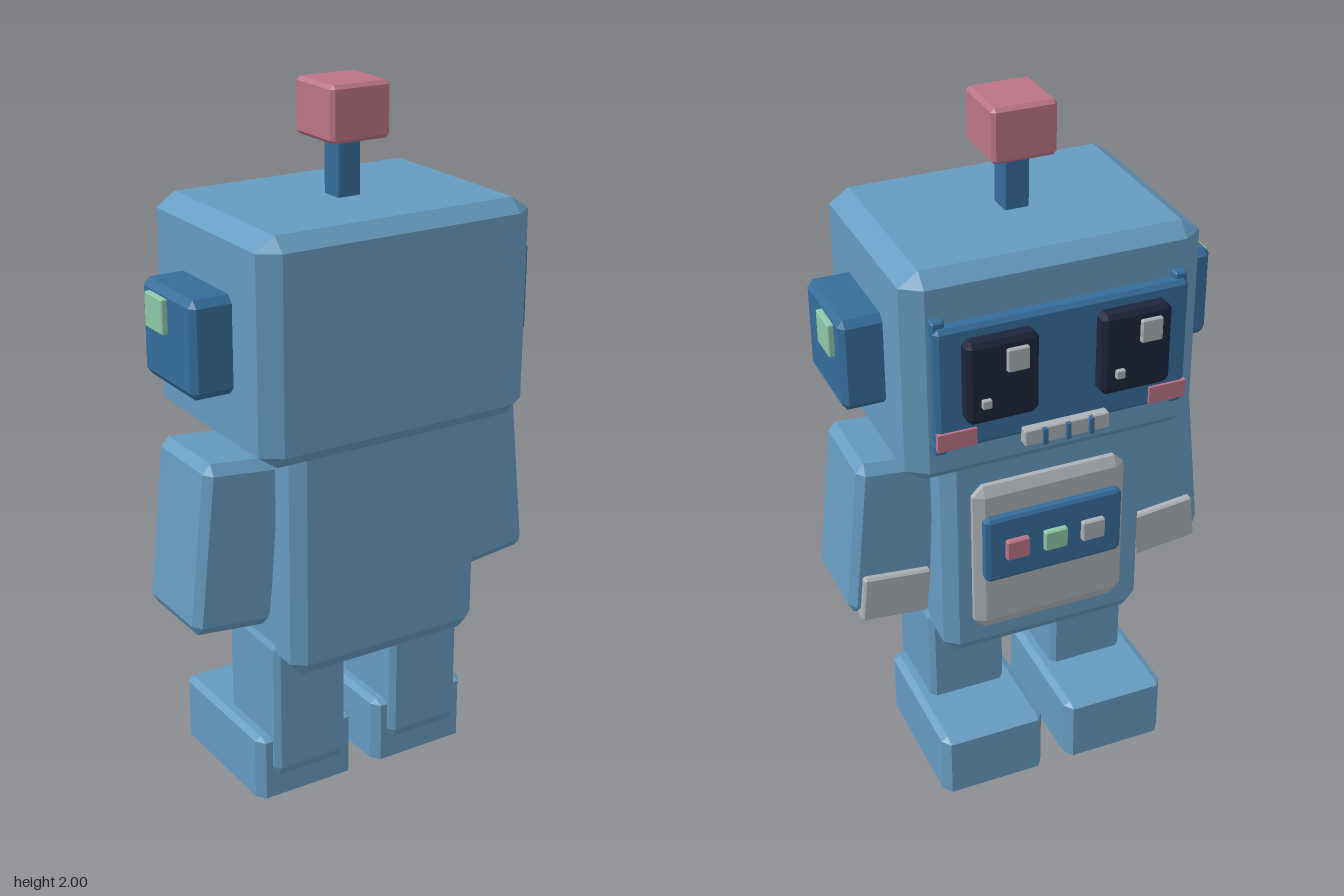
import * as THREE from 'three';
import { ConvexGeometry } from 'three/addons/geometries/ConvexGeometry.js';

const mat = (name, color) => {
  const m = new THREE.MeshStandardMaterial({ color });
  m.name = name;
  return m;
};

// Box with flat chamfers; bevel is [x, y, z] inset
function chamferBox([w, h, d], [bx, by, bz]) {
  const pts = [];
  const x = w / 2, y = h / 2, z = d / 2;
  for (const i of [-1, 1]) for (const j of [-1, 1]) for (const k of [-1, 1]) {
    pts.push(
      new THREE.Vector3(i * x, j * (y - by), k * (z - bz)),
      new THREE.Vector3(i * (x - bx), j * y, k * (z - bz)),
      new THREE.Vector3(i * (x - bx), j * (y - by), k * z));
  }
  return new ConvexGeometry(pts);
}

// Adds a box spanning [x0,x1] [y0,y1] [z0,z1], chamfered when a bevel is given
function block(parent, name, material, xs, ys, zs, bevel) {
  const size = [xs, ys, zs].map(([a, b]) => Math.abs(b - a));
  if (typeof bevel === 'number') bevel = [bevel, bevel, bevel];
  const geo = bevel ? chamferBox(size, bevel) : new THREE.BoxGeometry(...size);
  const mesh = new THREE.Mesh(geo, material);
  mesh.name = name;
  mesh.position.set(...[xs, ys, zs].map(([a, b]) => (a + b) / 2));
  parent.add(mesh);
  return mesh;
}

export function createModel() {
  const root = new THREE.Group();
  root.name = 'robot';
  const body = mat('body blue', 0x669bc0);
  const dark = mat('dark blue', 0x356d9b);
  const navy = mat('navy', 0x1c263b);
  const pink = mat('pink', 0xba7487);
  const green = mat('green', 0x8fc7a7);
  const grey = mat('light grey', 0xadb1b5);

  // Head, torso and antenna
  block(root, 'head', body, [-0.415, 0.415], [1.085, 1.695], [-0.255, 0.345], [0.055, 0.038, 0.038]);
  block(root, 'torso', body, [-0.3, 0.3], [0.435, 1.13], [-0.19, 0.29], [0.038, 0.04, 0.03]);
  block(root, 'antennaStem', dark, [-0.035, 0.035], [1.68, 1.86], [0.01, 0.08], 0.004);
  block(root, 'antennaTip', pink, [-0.09, 0.09], [1.85, 2], [-0.045, 0.138], 0.01);

  // Face plate on the -z side
  const face = new THREE.Group();
  face.name = 'face';
  root.add(face);
  block(face, 'facePlate', dark, [-0.352, 0.352], [1.205, 1.56], [-0.295, -0.25], [0.012, 0.012, 0.01]);
  block(face, 'mouth', grey, [-0.12, 0.12], [1.185, 1.232], [-0.322, -0.29], 0.003);
  for (const x of [-0.066, 0, 0.066])
    block(face, 'mouthBar', dark, [x - 0.006, x + 0.006], [1.185, 1.232], [-0.332, -0.31]);

  for (const s of [-1, 1]) {
    const cx = s * 0.1855;
    block(face, 'eye', navy, [cx - 0.098, cx + 0.098], [1.295, 1.528], [-0.337, -0.29], [0.014, 0.014, 0.008]);
    block(face, 'eyeGlint', grey, [cx - 0.067, cx - 0.007], [1.435, 1.5], [-0.349, -0.33], 0.003);
    block(face, 'eyeSpark', grey, [cx + 0.036, cx + 0.061], [1.343, 1.368], [-0.349, -0.33], 0.002);
    block(face, 'cheek', pink, [s * 0.245, s * 0.353], [1.215, 1.265], [-0.303, -0.288]);
    for (const y of [1.56, 1.207])
      block(face, 'rivet', dark, [s * 0.318, s * 0.354], [y - 0.018, y + 0.018], [-0.28, -0.25], 0.005);

    // Ears
    block(root, 'ear', dark, [s * 0.39, s * 0.53], [1.255, 1.52], [-0.092, 0.185], [0.015, 0.02, 0.018]);
    block(root, 'earLight', green, [s * 0.52, s * 0.546], [1.4, 1.495], [-0.043, 0.053], 0.003);

    // Arms, tilted outward at the bottom
    const arm = new THREE.Group();
    arm.name = s > 0 ? 'leftArm' : 'rightArm';
    arm.position.set(s * 0.405, 0.82, 0);
    arm.rotation.z = s * 0.105;
    root.add(arm);
    block(arm, 'armBlock', body, [-0.12, 0.12], [-0.243, 0.243], [-0.09, 0.19], [0.02, 0.028, 0.024]);
    block(arm, 'cuff', grey, [-s * 0.105, s * 0.09], [-0.25, -0.11], [-0.11, -0.05], 0.006);

    // Legs and feet
    block(root, 'leg', body, [s * 0.078, s * 0.308], [0.08, 0.512], [-0.07, 0.195], [0.015, 0.03, 0.016]);
    block(root, 'foot', body, [s * 0.037, s * 0.35], [0, 0.2], [-0.278, 0.172], [0.02, 0.01, 0.028]);
  }

  // Chest panel and buttons
  const chest = new THREE.Group();
  chest.name = 'chest';
  root.add(chest);
  block(chest, 'chestPlate', grey, [-0.225, 0.225], [0.535, 1.01], [-0.225, -0.18], [0.03, 0.03, 0.015]);
  block(chest, 'controlPanel', dark, [-0.203, 0.203], [0.715, 0.92], [-0.25, -0.215], [0.014, 0.01, 0.006]);
  [[0.113, pink], [0, green], [-0.113, grey]].forEach(([x, m]) =>
    block(chest, 'button', m, [x - 0.034, x + 0.034], [0.785, 0.848], [-0.266, -0.24], 0.004));

  return root;
}
